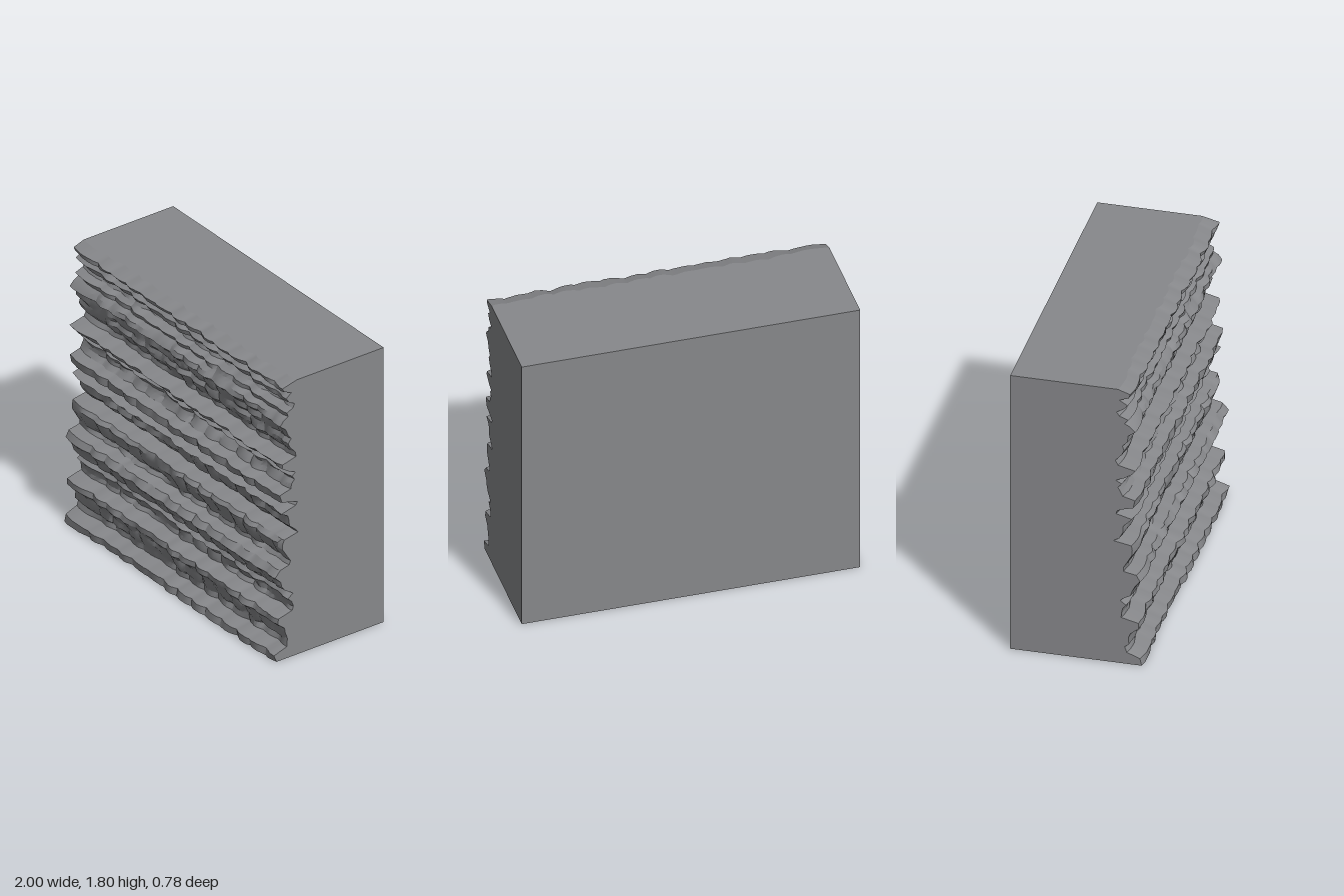
import * as THREE from 'three';
import { toCreasedNormals, mergeGeometries } from 'three/addons/utils/BufferGeometryUtils.js';

const BACK = -0.39;

// Weathered strata profile: height, depth
const PROFILE = [
  0, .385, .045, .39, .075, .30, .11, .295, .13, .31, .17, .32, .2, .335, .24, .37, .275, .365, .30, .27,
  .325, .265, .36, .275, .385, .295, .41, .27, .425, .285, .45, .33, .48, .34, .51, .355, .55, .39, .59, .36,
  .605, .29, .63, .28, .67, .31, .72, .335, .755, .345, .78, .33, .80, .22, .82, .255, .86, .285, .90, .29,
  .93, .305, .955, .34, .98, .25, 1.0, .24, 1.01, .26, 1.03, .35, 1.08, .36, 1.10, .29, 1.13, .275, 1.155, .26,
  1.18, .28, 1.20, .25, 1.22, .29, 1.25, .33, 1.275, .35, 1.3, .245, 1.33, .245, 1.37, .28, 1.4, .295, 1.43, .285,
  1.46, .305, 1.5, .31, 1.53, .345, 1.56, .33, 1.58, .30, 1.605, .305, 1.625, .26, 1.65, .245, 1.67, .29,
  1.7, .305, 1.73, .27, 1.75, .32, 1.775, .33, 1.8, .245,
];
const rows = PROFILE.length / 2;

// Vertical joints where the rock face notches inward
const JOINTS = [-1, -.77, -.64, -.5, -.37, -.22, -.07, .06, .2, .33, .48, .63, .76, .9, 1];
const STEPS = 6;
const columns = (JOINTS.length - 1) * STEPS;

function hash(a, b) {
  const s = Math.sin(a * 127.1 + b * 311.7) * 43758.5453;
  return s - Math.floor(s);
}

// Point on the rock face at column i, row j
function facePoint(i, j) {
  const block = Math.min(Math.floor(i / STEPS), JOINTS.length - 2);
  const t = i / STEPS - block;
  const x = THREE.MathUtils.lerp(JOINTS[block], JOINTS[block + 1], t);
  const ease = t * t * (3 - 2 * t);
  const wear = THREE.MathUtils.lerp(hash(block, j), hash(block + 1, j), ease);
  const bulge = 0.013 * Math.sin(Math.PI * t) * (0.5 + hash(block, 99));
  const chip = 0.005 * (hash(i, j + 50) - 0.5);
  const z = PROFILE[j * 2 + 1] - 0.02 * wear + bulge + chip - 0.003;
  return [x, PROFILE[j * 2], Math.min(z, 0.39)];
}

// Surface of nu by nv quads; u cross v points outward
function surface(nu, nv, point) {
  const pos = [];
  for (let j = 0; j < nv; j++) {
    for (let i = 0; i < nu; i++) {
      const a = point(i, j), b = point(i + 1, j), c = point(i + 1, j + 1), d = point(i, j + 1);
      pos.push(...a, ...b, ...c, ...a, ...c, ...d);
    }
  }
  const geometry = new THREE.BufferGeometry();
  geometry.setAttribute('position', new THREE.Float32BufferAttribute(pos, 3));
  geometry.computeVertexNormals();
  return geometry;
}

const toBack = ([x, y]) => [x, y, BACK];

export function createModel() {
  const group = new THREE.Group();
  group.name = 'cliffBlock';
  const rock = new THREE.MeshStandardMaterial({ color: 0x87888b });
  rock.name = 'grey rock';

  // Layered front
  const face = new THREE.Mesh(toCreasedNormals(surface(columns, rows - 1, facePoint), 0.45), rock);
  face.name = 'strataFace';
  group.add(face);

  // Flat sides, top, bottom and back follow the front edge
  const last = rows - 1;
  const side = (column, flip) => surface(1, last, (i, j) => {
    const p = facePoint(column, j);
    return (i === 1) === flip ? p : toBack(p);
  });
  const cap = (row, flip) => surface(columns, 1, (i, j) => {
    const p = facePoint(i, row);
    return (j === 1) === flip ? p : toBack(p);
  });
  const body = new THREE.Mesh(mergeGeometries([
    side(columns, false),
    side(0, true),
    cap(last, false),
    cap(0, true),
    surface(1, 1, (i, j) => [1 - 2 * i, 1.8 * j, BACK]),
  ]), rock);
  body.name = 'blockBody';
  group.add(body);
  return group;
}
